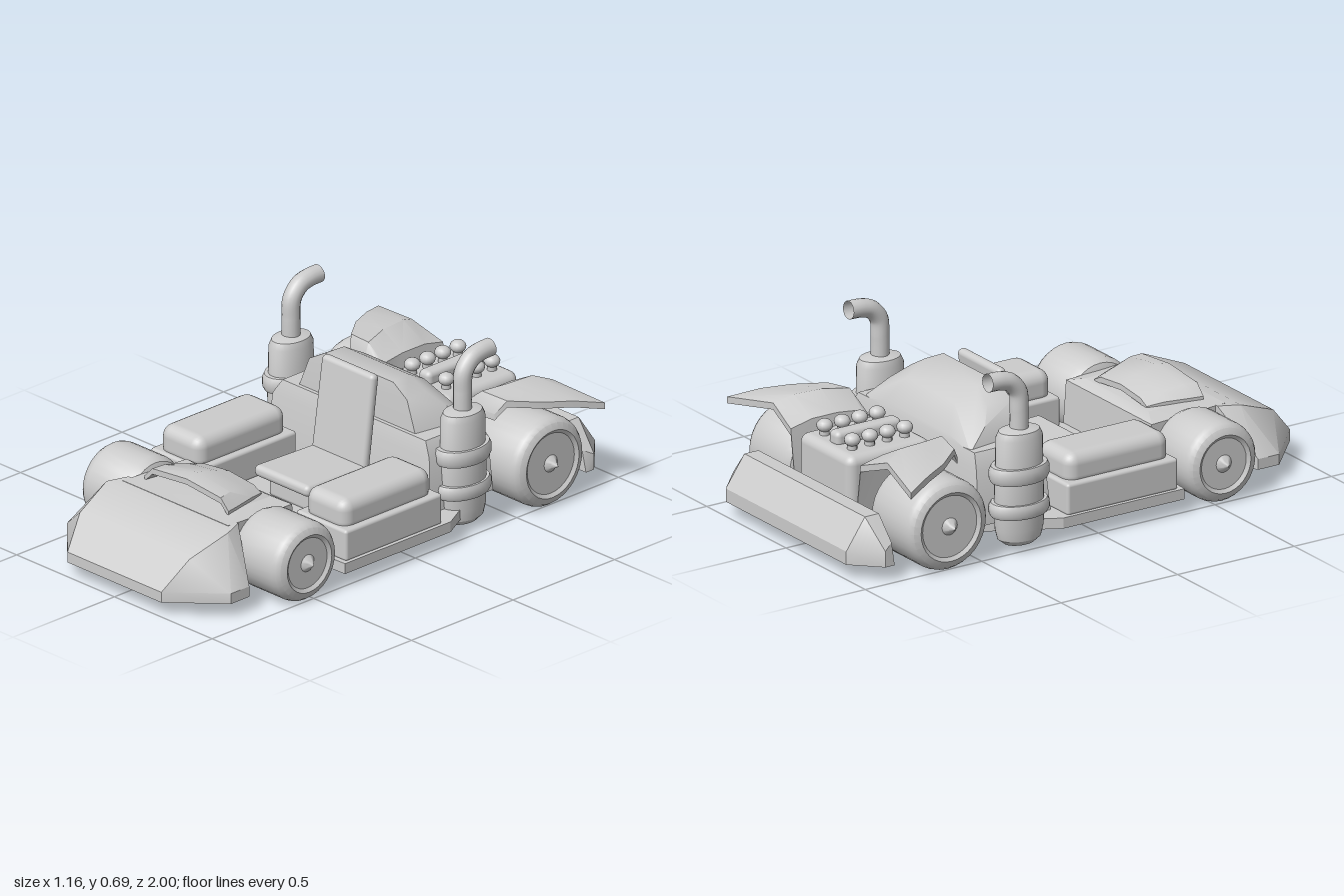
import * as THREE from 'three';
import { toCreasedNormals } from 'three/addons/utils/BufferGeometryUtils.js';
import { RoundedBoxGeometry } from 'three/addons/geometries/RoundedBoxGeometry.js';
import { ConvexGeometry } from 'three/addons/geometries/ConvexGeometry.js';

const V = (x, y, z) => new THREE.Vector3(x, y, z);

export function createModel() {
  const kart = new THREE.Group();
  kart.name = 'kart';
  const grey = new THREE.MeshStandardMaterial({ color: 0xcccccc, side: THREE.DoubleSide });
  grey.name = 'light grey';

  const add = (name, geo, parent = kart) => {
    const mesh = new THREE.Mesh(geo, grey);
    mesh.name = name;
    parent.add(mesh);
    return mesh;
  };

  // Mirrored convex solid from [halfWidth, y, z] points
  const hull = (pts, crease = 0.5) => toCreasedNormals(
    new ConvexGeometry(pts.flatMap(([w, y, z]) => [V(w, y, z), V(-w, y, z)])), crease);

  const box = (w, h, d, r, x, y, z) => new RoundedBoxGeometry(w, h, d, 3, r).translate(x, y, z);

  const lathe = (pts, segments = 28) => toCreasedNormals(
    new THREE.LatheGeometry(pts.map(([r, y]) => new THREE.Vector2(r, y)), segments), 0.6);

  // Curved panel: rows of [x, y, z] points given a thickness below
  const panel = (rows, thick) => {
    const n = rows[0].length, loop = 2 * n, pos = [], index = [];
    const quad = (a, b, c, d) => index.push(a, b, c, a, c, d);
    rows.forEach((row) => {
      row.forEach((p) => pos.push(...p));
      [...row].reverse().forEach(([x, y, z]) => pos.push(x, y - thick, z));
    });
    for (let r = 0; r < rows.length - 1; r++) {
      for (let i = 0; i < loop; i++) {
        const j = (i + 1) % loop, a = r * loop, b = a + loop;
        quad(a + i, a + j, b + j, b + i);
      }
    }
    for (let i = 0; i < n - 1; i++) {
      const e = (rows.length - 1) * loop;
      quad(i, loop - 1 - i, loop - 2 - i, i + 1);
      quad(e + i, e + i + 1, e + loop - 2 - i, e + loop - 1 - i);
    }
    const geo = new THREE.BufferGeometry();
    geo.setAttribute('position', new THREE.Float32BufferAttribute(pos, 3));
    geo.setIndex(index);
    return toCreasedNormals(geo, 0.7);
  };

  // Floor pan
  const half = [[0.27, 0.68], [0.27, 0.37], [0.515, 0.36], [0.515, -0.16], [0.36, -0.45], [0.24, -0.48], [0.24, -0.87]];
  const outline = [...half, ...half.map(([x, z]) => [-x, z]).reverse()];
  const floor = new THREE.ExtrudeGeometry(
    new THREE.Shape(outline.map(([x, z]) => new THREE.Vector2(x, z))), { depth: 0.04, bevelEnabled: false });
  add('floor', floor.rotateX(Math.PI / 2).translate(0, 0.1, 0));

  // Nose and front body
  add('nose', hull([
    [0.24, 0.06, 1], [0.24, 0.1, 1], [0.42, 0.06, 0.83], [0.42, 0.1, 0.83],
    [0.42, 0.06, 0.74], [0.42, 0.1, 0.74], [0.28, 0.21, 0.9], [0.31, 0.272, 0.74],
    [0.28, 0.275, 0.66], [0.28, 0.06, 0.66],
  ]));
  add('frontBody', hull([
    [0.27, 0.06, 0.7], [0.27, 0.275, 0.7], [0.27, 0.06, 0.37], [0.27, 0.26, 0.385],
    [0.2, 0.285, 0.62], [0.2, 0.28, 0.42],
  ]));

  // Cowl arching over the front body
  const arch = (z, w, low, shoulder, mid, top) => [
    [-w, low, z], [-shoulder, mid, z], [0, top, z], [shoulder, mid, z], [w, low, z]];
  add('cowl', panel([
    arch(0.645, 0.215, 0.295, 0.175, 0.335, 0.352),
    arch(0.59, 0.205, 0.295, 0.165, 0.338, 0.361),
    arch(0.5, 0.185, 0.295, 0.145, 0.32, 0.34),
    arch(0.435, 0.165, 0.285, 0.125, 0.305, 0.318),
  ], 0.022));

  // Rear bumper and its mounts
  add('rearBumper', hull([
    [0.48, 0.06, -0.86], [0.46, 0.14, -0.86], [0.38, 0.225, -0.86], [0.38, 0.225, -0.92],
    [0.48, 0.06, -0.9], [0.48, 0.12, -0.9], [0.38, 0.06, -1], [0.38, 0.11, -1],
  ]));
  add('bumperMount', box(0.46, 0.1, 0.08, 0.015, 0, 0.13, -0.85));

  // Bulkhead behind the seat with a rounded hump
  add('bulkhead', hull([
    [0.42, 0.1, -0.15], [0.42, 0.1, -0.46], [0.4, 0.305, -0.165], [0.4, 0.305, -0.455],
    [0.366, 0.36, -0.18], [0.366, 0.36, -0.44],
  ]));
  add('hump', hull([
    [0.3, 0.35, -0.195], [0.25, 0.475, -0.2], [0.175, 0.518, -0.205], [0.24, 0.475, -0.3],
    [0.165, 0.52, -0.29], [0.3, 0.42, -0.35], [0.15, 0.47, -0.38], [0.34, 0.35, -0.44], [0.2, 0.38, -0.44],
  ], 0.8));

  // Seat
  const back = add('seatBack', new RoundedBoxGeometry(0.28, 0.37, 0.038, 4, 0.018));
  const pos = back.geometry.attributes.position;
  for (let i = 0; i < pos.count; i++) pos.setX(i, pos.getX(i) * (0.97 - 0.25 * Math.max(0, pos.getY(i) - 0.1)));
  back.position.set(0, 0.362, -0.137);
  back.rotation.x = -0.14;
  add('seatPan', box(0.28, 0.045, 0.31, 0.02, 0, 0.19, 0.035)).rotation.x = -0.03;
  add('seatBase', box(0.22, 0.09, 0.24, 0.02, 0, 0.135, 0.02));

  // Engine with a centre rail and intake caps
  add('engineBlock', box(0.33, 0.28, 0.36, 0.035, 0, 0.22, -0.66));
  add('engineRail', box(0.06, 0.06, 0.28, 0.02, 0, 0.375, -0.66));
  for (const s of [-1, 1]) {
    for (let i = 0; i < 4; i++) {
      const z = -0.55 - 0.075 * i;
      add('intakeStem', new THREE.CylinderGeometry(0.018, 0.018, 0.06, 12).translate(s * 0.087, 0.365, z));
      add('intakeCap', new THREE.SphereGeometry(0.03, 14, 10).scale(1, 0.8, 1).translate(s * 0.087, 0.395, z));
    }
  }

  // Wheels: rounded tyre with a pointed hub
  const wheel = (name, s, radius, inner, outer, tip, z) => {
    const w = new THREE.Group();
    w.name = name;
    const b = 0.045;
    add('tyre', lathe([
      [0, inner], [radius - b, inner], [radius - b * 0.3, inner + b * 0.3], [radius, inner + b],
      [radius, outer - b], [radius - b * 0.1, outer - b * 0.6], [radius - b * 0.35, outer - b * 0.25],
      [radius - b * 0.9, outer - 0.002], [radius - b * 1.2, outer - 0.012], [0, outer - 0.012],
    ], 32).rotateZ(-Math.PI / 2), w);
    add('hubSpike', lathe([[0.035, outer - 0.014], [0.016, outer + 0.004], [0, tip]], 16).rotateZ(-Math.PI / 2), w);
    w.position.set(0, radius + 0.004, z);
    w.scale.x = s;
    kart.add(w);
  };

  for (const s of [-1, 1]) {
    wheel('frontWheel', s, 0.15, 0.26, 0.517, 0.538, 0.535);
    wheel('rearWheel', s, 0.17, 0.245, 0.53, 0.557, -0.65);

    // Side pods
    add('sidePodBase', box(0.26, 0.12, 0.475, 0.012, s * 0.372, 0.155, 0.105));
    add('sidePodTop', box(0.21, 0.13, 0.44, 0.045, s * 0.372, 0.247, 0.107));

    // Rear fenders sweeping out to a point
    const fender = add('rearFender', panel([
      [[0.19, 0.14, -0.5], [0.2, 0.33, -0.5], [0.28, 0.365, -0.5], [0.37, 0.36, -0.515]],
      [[0.19, 0.14, -0.53], [0.215, 0.36, -0.53], [0.29, 0.42, -0.53], [0.4, 0.41, -0.55]],
      [[0.19, 0.14, -0.63], [0.22, 0.37, -0.63], [0.32, 0.428, -0.63], [0.48, 0.4, -0.65]],
      [[0.19, 0.14, -0.74], [0.22, 0.37, -0.74], [0.33, 0.428, -0.74], [0.53, 0.39, -0.75]],
      [[0.19, 0.14, -0.83], [0.22, 0.35, -0.83], [0.36, 0.4, -0.81], [0.58, 0.365, -0.858]],
    ], 0.025));
    fender.scale.x = s;

    // Exhausts: oval canister, two bands and a bent pipe
    const exhaust = new THREE.Group();
    exhaust.name = 'exhaust';
    const canister = add('canister', lathe([
      [0, 0.027], [0.06, 0.03], [0.085, 0.05], [0.095, 0.09], [0.097, 0.3], [0.093, 0.32],
      [0.092, 0.43], [0.08, 0.455], [0.04, 0.465], [0, 0.465],
    ]), exhaust);
    canister.scale.x = 0.72;
    for (const [y, h] of [[0.298, 0.03], [0.165, 0.026]]) {
      const band = add('band', lathe([
        [0.09, y - h], [0.11, y - h], [0.118, y - h * 0.5], [0.118, y + h * 0.5], [0.11, y + h], [0.09, y + h],
      ]), exhaust);
      band.scale.x = 0.7;
    }
    const path = new THREE.CatmullRomCurve3([
      V(0, 0.44, 0), V(0, 0.53, 0), V(0, 0.6, -0.005), V(0, 0.642, -0.04), V(0, 0.655, -0.08), V(0, 0.658, -0.135)]);
    add('pipe', new THREE.TubeGeometry(path, 28, 0.034, 16), exhaust);
    exhaust.position.set(s > 0 ? 0.415 : -0.463, 0, -0.315);
    kart.add(exhaust);
  }

  return kart;
}
